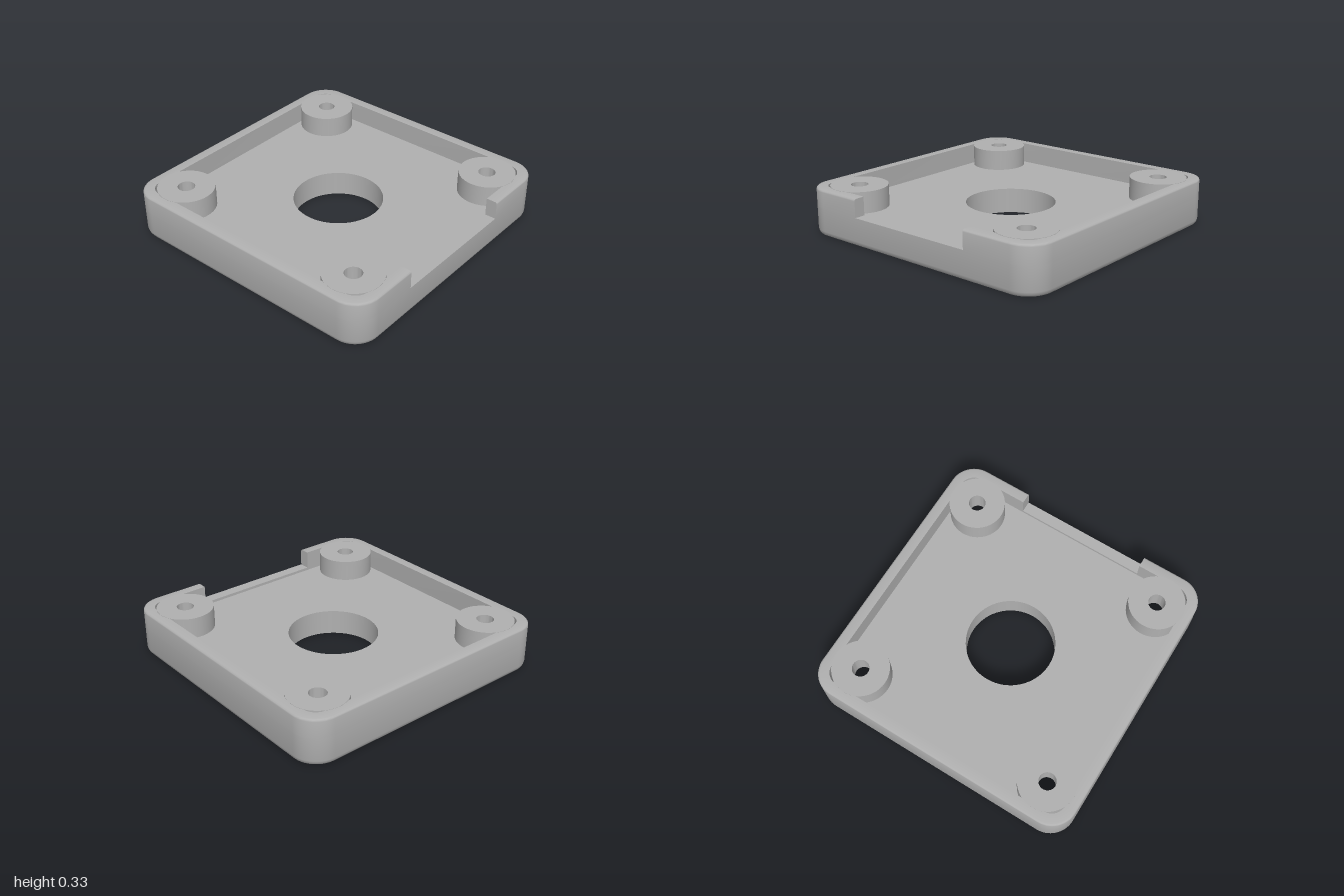
import * as THREE from 'three';
import { toCreasedNormals } from 'three/addons/utils/BufferGeometryUtils.js';

const FLOOR = 0.18, LEDGE = 0.2, RIM = 0.33;      // main heights
const NOTCH_L = 0.46, NOTCH_R = -0.5;             // notch ends on the front wall
const BOSS = 0.74, BORE = 0.178, HOLE = 0.315;    // boss position, counterbore, centre hole
const CORNER_STEPS = 14;

// Rounded square in x/z, from the notch's left end around the back to its right end
function outline(half, radius) {
  const pts = [[NOTCH_L, half]];
  const c = half - radius;
  [[c, c], [c, -c], [-c, -c], [-c, c]].forEach(([x, z], k) => {
    for (let i = 0; i <= CORNER_STEPS; i++) {
      const a = Math.PI / 2 * (1 - k - i / CORNER_STEPS);
      pts.push([x + radius * Math.cos(a), z + radius * Math.sin(a)]);
    }
  });
  pts.push([NOTCH_R, half]);
  return pts;
}

// Skin through rounded squares [half, radius, y]
function loft(rings, closed) {
  const pos = [], index = [];
  const n = outline(1, 0.18).length;
  rings.forEach(([half, radius, y]) => outline(half, radius).forEach(([x, z]) => pos.push(x, y, z)));
  for (let r = 0; r < rings.length - 1; r++) {
    for (let i = 0; i < (closed ? n : n - 1); i++) {
      const j = (i + 1) % n, a = r * n + i, b = r * n + j, c = a + n, d = b + n;
      index.push(a, c, b, b, c, d);
    }
  }
  const g = new THREE.BufferGeometry();
  g.setAttribute('position', new THREE.Float32BufferAttribute(pos, 3));
  g.setIndex(index);
  return toCreasedNormals(g, 0.6);
}

// Flat plate face with the centre hole and four corner holes
function face(half, radius, y, up) {
  const shape = new THREE.Shape(outline(half, radius).map(([x, z]) => new THREE.Vector2(x, -z)));
  const hole = (x, z, r) => shape.holes.push(new THREE.Path().absarc(x, z, r, 0, Math.PI * 2, true));
  hole(0, 0, HOLE);
  for (const x of [-BOSS, BOSS]) for (const z of [-BOSS, BOSS]) hole(x, z, BORE);
  const g = new THREE.ShapeGeometry(shape, 32);
  g.rotateX(up ? -Math.PI / 2 : Math.PI / 2);
  return g.translate(0, y, 0);
}

export function createModel() {
  const model = new THREE.Group();
  model.name = 'mountingTray';
  const grey = new THREE.MeshStandardMaterial({ color: 0xb0b0b0, side: THREE.DoubleSide });
  grey.name = 'grey plastic';
  const add = (name, geometry) => {
    const mesh = new THREE.Mesh(geometry, grey);
    mesh.name = name;
    model.add(mesh);
    return mesh;
  };

  // Base plate: floor, underside and softened outer skin up to the notch ledge
  add('floor', face(0.92, 0.1, FLOOR, true));
  add('underside', face(0.976, 0.165, 0, false));
  add('baseSkin', loft([
    [0.92, 0.1, FLOOR], [0.92, 0.1, LEDGE], [1, 0.18, LEDGE],
    [1, 0.18, 0.036], [0.995, 0.176, 0.018], [0.987, 0.171, 0.006], [0.976, 0.165, 0],
  ], true));

  // Upper wall, open at the notch
  const wall = [
    [0.92, 0.1, LEDGE], [0.92, 0.1, RIM], [0.986, 0.17, RIM],
    [0.994, 0.175, 0.327], [0.998, 0.178, 0.322], [1, 0.18, 0.314], [1, 0.18, LEDGE],
  ];
  add('upperWall', loft(wall, false));

  // End faces of the notch
  const section = new THREE.Shape(wall.map(([half, , y]) => new THREE.Vector2(half, y)));
  for (const x of [NOTCH_L, NOTCH_R]) {
    const end = add('notchEnd', new THREE.ShapeGeometry(section).rotateY(-Math.PI / 2));
    end.position.x = x;
  }

  // Centre hole wall
  add('centreHole', new THREE.CylinderGeometry(HOLE, HOLE, FLOOR, 64, 1, true).translate(0, FLOOR / 2, 0));

  // Screw bosses with a counterbore from below
  const profile = [
    [BORE, 0], [BORE, FLOOR], [0.06, FLOOR], [0.06, RIM + 0.002], [0.2, RIM + 0.002], [0.2, FLOOR],
  ].map(([r, y]) => new THREE.Vector2(r, y));
  const boss = toCreasedNormals(new THREE.LatheGeometry(profile, 48), 0.6);
  for (const x of [-BOSS, BOSS]) {
    for (const z of [-BOSS, BOSS]) add('screwBoss', boss).position.set(x, 0, z);
  }
  return model;
}
